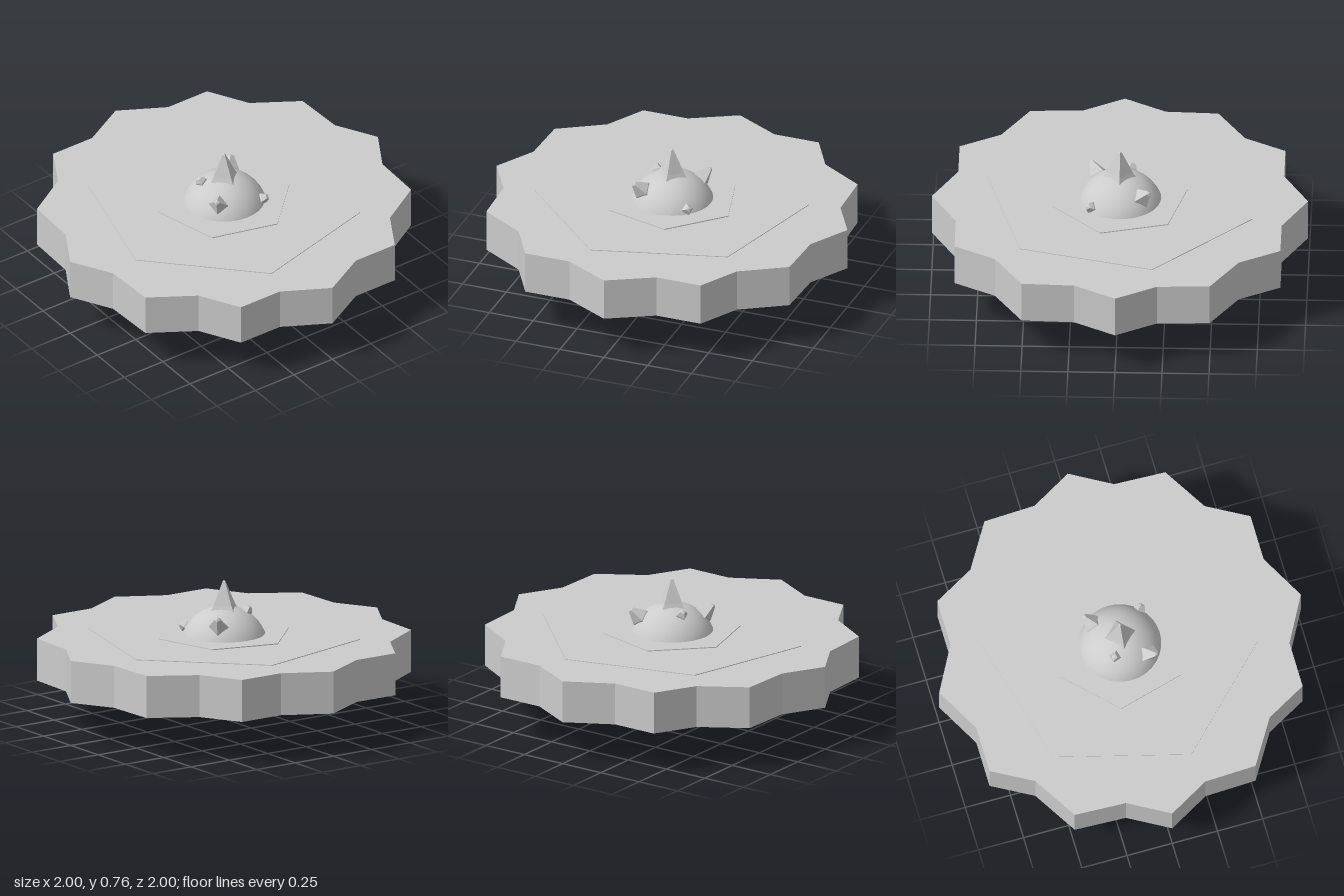
import * as THREE from 'three';

const CENTER_Y = 0.38;

// Gives every triangle its own flat normal
function faceted(geometry) {
  const flat = geometry.toNonIndexed();
  flat.computeVertexNormals();
  return flat;
}

export function createModel() {
  const grey = new THREE.MeshStandardMaterial({ color: 0xcccccc });
  grey.name = 'stoneGrey';
  const group = new THREE.Group();
  group.name = 'spikedDisc';

  function add(name, geometry) {
    const mesh = new THREE.Mesh(geometry, grey);
    mesh.name = name;
    group.add(mesh);
    return mesh;
  }

  // Twelve-pointed disc: one quadrant of the outline, mirrored into four
  const quadrant = [[1, 0], [0.866, 0.247], [0.866, 0.5], [0.648, 0.622], [0.5, 0.864], [0.22, 0.875], [0, 1]];
  const reversed = [...quadrant].reverse();
  const outline = [
    ...quadrant,
    ...reversed.slice(1).map(([x, y]) => [-x, y]),
    ...quadrant.slice(1).map(([x, y]) => [-x, -y]),
    ...reversed.slice(1, -1).map(([x, y]) => [x, -y]),
  ].map(([x, y]) => new THREE.Vector2(x, y));
  const disc = new THREE.ExtrudeGeometry(new THREE.Shape(outline), { depth: 0.23, bevelEnabled: false });
  disc.rotateX(-Math.PI / 2).translate(0, 0.233, 0);
  add('disc', disc);

  // Thin hexagonal plates stacked on the disc, turned against each other
  function hexPlate(name, radius, top, degrees) {
    const height = top - 0.46;
    const plate = new THREE.CylinderGeometry(radius, radius, height, 6, 1, false, THREE.MathUtils.degToRad(degrees));
    add(name, faceted(plate)).position.y = top - height / 2;
  }
  hexPlate('largeHexPlate', 0.733, 0.467, 15);
  hexPlate('smallHexPlate', 0.37, 0.472, 45);

  // Ball through the middle
  add('ball', new THREE.SphereGeometry(0.238, 32, 24)).position.y = CENTER_Y;

  // Four-sided blunt spike; profile rows are [radius, distance from ball centre]
  function spike(name, profile, direction) {
    const points = profile.map(([r, d]) => new THREE.Vector2(r, d));
    const mesh = add(name, faceted(new THREE.LatheGeometry(points, 4)));
    const out = new THREE.Vector3(...direction).normalize();
    const side = new THREE.Vector3(0, 1, 0).cross(out);
    if (side.length() < 0.01) side.set(1, 0, 0);
    side.normalize();
    const third = side.clone().cross(out);
    mesh.quaternion.setFromRotationMatrix(new THREE.Matrix4().makeBasis(side, out, third));
    mesh.position.y = CENTER_Y;
  }

  const poleProfile = [[0.085, 0.19], [0.085, 0.222], [0.068, 0.25], [0.018, 0.355], [0.009, 0.374], [0, 0.38]];
  const mediumProfile = [[0.052, 0.2], [0.052, 0.24], [0.044, 0.255], [0.016, 0.308], [0, 0.316]];
  const smallProfile = [[0.032, 0.2], [0.032, 0.245], [0.018, 0.268], [0, 0.273]];

  // Every spike has an opposite one through the centre of the ball
  for (const s of [1, -1]) {
    const end = s > 0 ? 'upper' : 'lower';
    spike(end + 'PoleSpike', poleProfile, [0, s, 0]);
    spike(end + 'MediumSpikeLeft', mediumProfile, [0.16, 0.22 * s, 0.16]);
    spike(end + 'MediumSpikeRight', mediumProfile, [-0.16, 0.22 * s, -0.16]);
    spike(end + 'SmallSpikeA', smallProfile, [-0.06 * s, 0.215 * s, 0.11 * s]);
    spike(end + 'SmallSpikeB', smallProfile, [0.16 * s, 0.125 * s, -0.155 * s]);
  }
  return group;
}
